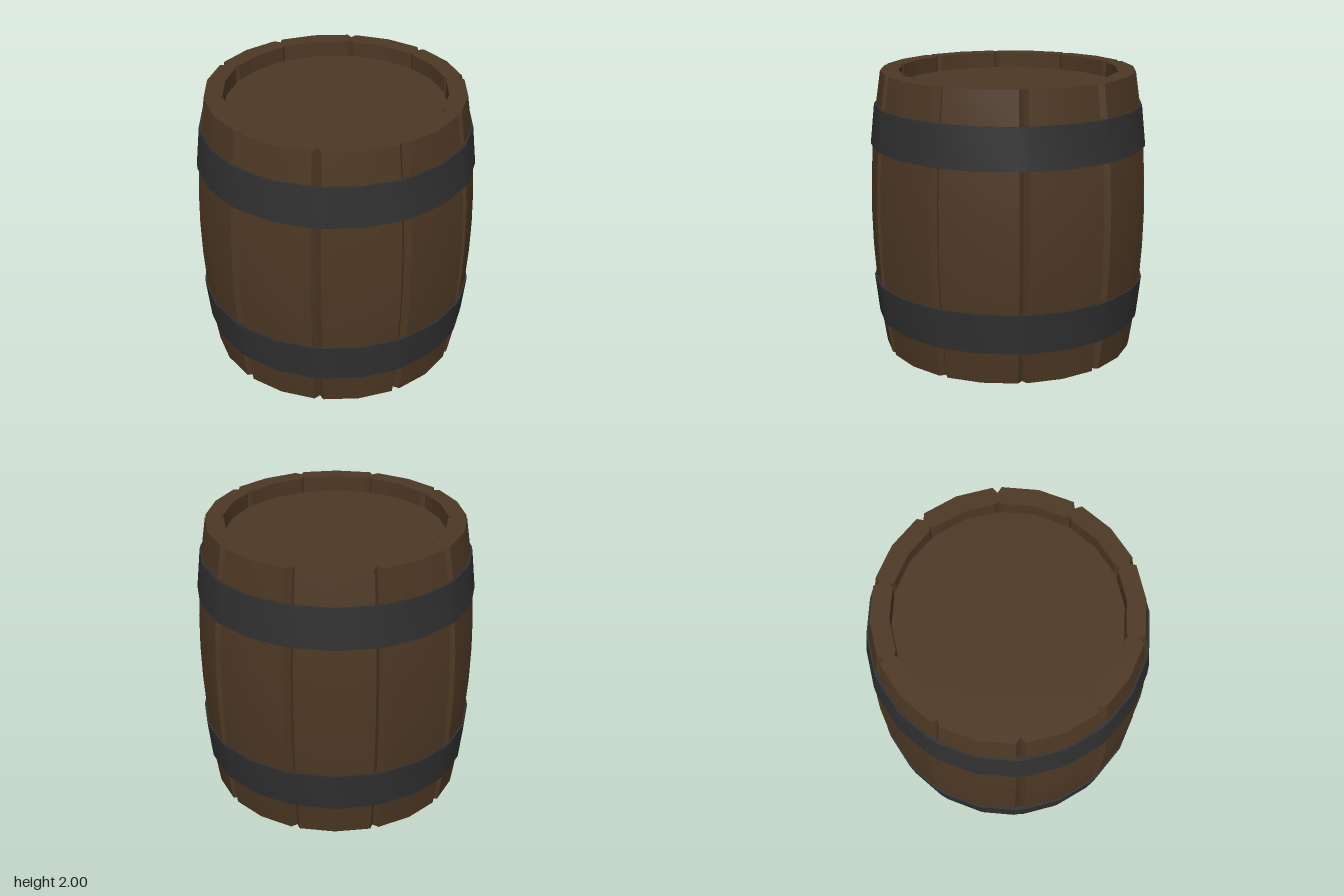
import * as THREE from 'three';
import { toCreasedNormals } from 'three/addons/utils/BufferGeometryUtils.js';

const STAVES = 10;
const HALF_GAP = THREE.MathUtils.degToRad(2);
const STEP = (Math.PI * 2) / STAVES;
const INNER = 0.768;

// Outer radius of the bulging barrel at height y
const bulge = (y) => 0.98 - 0.085 * (y - 1) ** 2;

// Sweeps a closed [radius, y, notchDepth] profile over a list of { angle, notch } stops
function sweep(stops, profile, closed) {
  const positions = [];
  const index = [];
  const m = profile.length;
  for (const { angle, notch } of stops) {
    for (const [radius, y, depth = 0] of profile) {
      const r = radius - (notch ? depth : 0);
      positions.push(r * Math.cos(angle), y, r * Math.sin(angle));
    }
  }
  const spans = closed ? stops.length : stops.length - 1;
  for (let i = 0; i < spans; i++) {
    const k = (i + 1) % stops.length;
    for (let j = 0; j < m; j++) {
      const n = (j + 1) % m;
      const a = i * m + j, b = i * m + n, c = k * m + n, d = k * m + j;
      index.push(a, b, c, a, c, d);
    }
  }
  const geometry = new THREE.BufferGeometry();
  geometry.setAttribute('position', new THREE.Float32BufferAttribute(positions, 3));
  geometry.setIndex(index);
  return toCreasedNormals(geometry, 0.5);
}

export function createModel() {
  const wood = new THREE.MeshStandardMaterial({ color: 0x4d3824 });
  wood.name = 'dark wood';
  const iron = new THREE.MeshStandardMaterial({ color: 0x303030 });
  iron.name = 'black iron';

  const barrel = new THREE.Group();
  barrel.name = 'barrel';
  const add = (geometry, material, name) => {
    const mesh = new THREE.Mesh(geometry, material);
    mesh.name = name;
    barrel.add(mesh);
    return mesh;
  };

  // Staves: bulged outside, straight inside, with V grooves at the joints
  const staveProfile = [];
  for (let i = 0; i <= 8; i++) {
    staveProfile.push([bulge(i / 4), i / 4, 0.04]);
  }
  staveProfile.push([INNER, 2, -0.022], [INNER, 0, -0.022]);
  const staveStops = [
    { angle: 0, notch: true },
    { angle: HALF_GAP },
    { angle: STEP / 2 },
    { angle: STEP - HALF_GAP },
    { angle: STEP, notch: true },
  ];
  const staveGeometry = sweep(staveStops, staveProfile, false);
  for (let i = 0; i < STAVES; i++) {
    add(staveGeometry, wood, `stave${i + 1}`).rotation.y = i * STEP;
  }

  // Stops round the whole barrel that bridge the grooves
  const ringStops = [];
  for (let i = 0; i < STAVES; i++) {
    for (const a of [HALF_GAP, STEP / 2, STEP - HALF_GAP]) {
      ringStops.push({ angle: i * STEP + a });
    }
  }

  // Iron hoops, mirrored about mid height
  const hoop = [[0.943, 0.23], [0.974, 0.515], [0.945, 0.515], [0.915, 0.23]];
  add(sweep(ringStops, hoop, true), iron, 'lowerHoop');
  const upper = hoop.map(([r, y]) => [r, 2 - y]).reverse();
  add(sweep(ringStops, upper, true), iron, 'upperHoop');

  // Recessed heads
  const outline = new THREE.Shape(ringStops.map(({ angle }) =>
    new THREE.Vector2(Math.cos(angle), Math.sin(angle)).multiplyScalar(INNER - 0.003)));
  const headGeometry = new THREE.ExtrudeGeometry(outline, { depth: 0.05, bevelEnabled: false });
  headGeometry.rotateX(-Math.PI / 2);
  add(headGeometry, wood, 'topHead').position.y = 1.84;
  add(headGeometry, wood, 'bottomHead').position.y = 0.11;

  return barrel;
}
